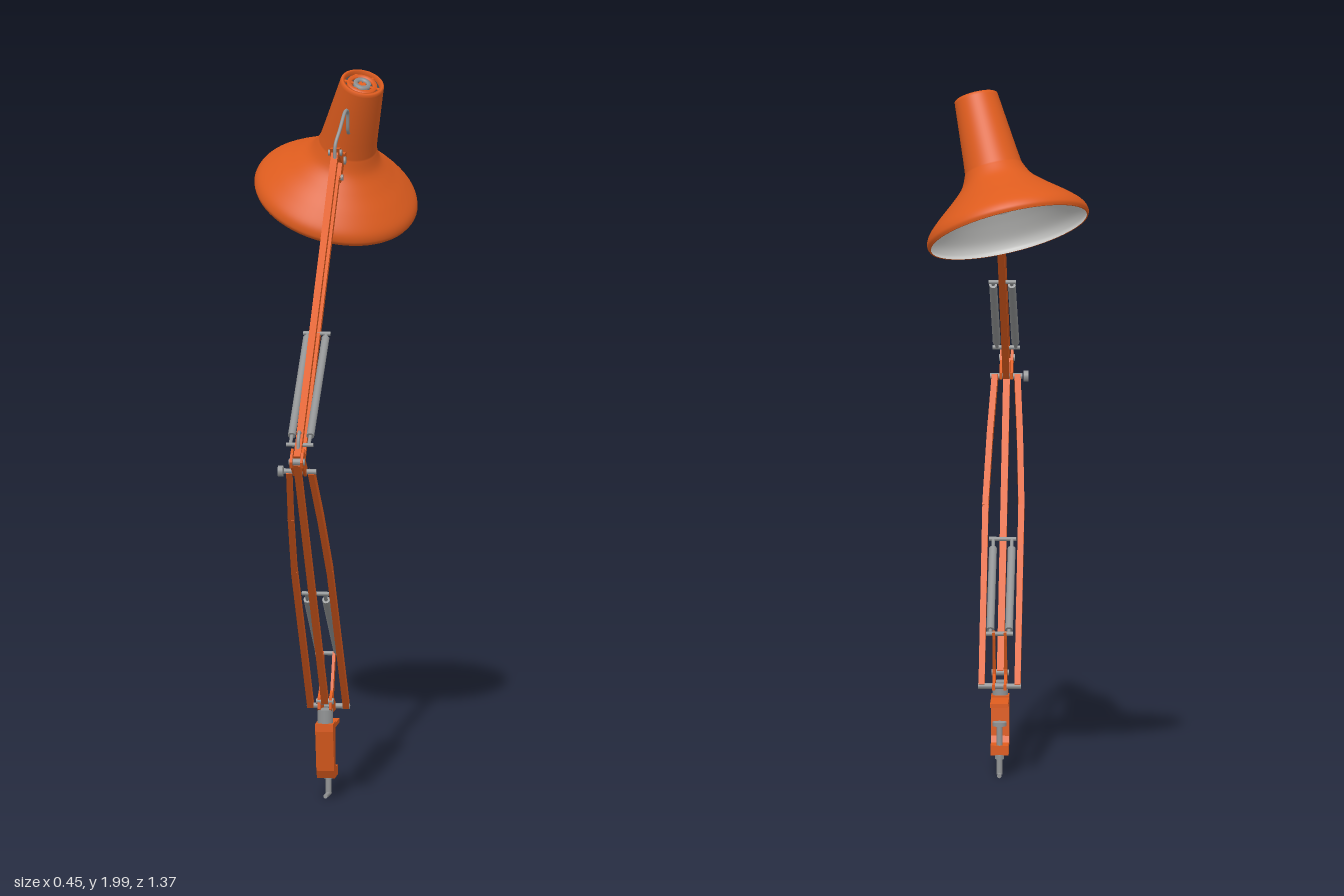
import * as THREE from 'three';

const mat = (name, color) => {
  const m = new THREE.MeshStandardMaterial({ color });
  m.name = name;
  return m;
};

export function createModel() {
  const orange = mat('orange paint', 0xde5c1e);
  const steel = mat('steel', 0x929495);
  const dark = mat('dark grey', 0x45474a);
  const lining = mat('shade lining', 0xc8c8c6);
  const glass = mat('bulb glass', 0xe0e0dd);

  const model = new THREE.Group();
  model.name = 'deskLamp';
  const CX = 0.037; // plane of the arm
  const P = (z, y, dx = 0) => new THREE.Vector3(CX + dx, y, z);

  const add = (name, geo, material, parent = model) => {
    const m = new THREE.Mesh(geo, material);
    m.name = name;
    parent.add(m);
    return m;
  };
  // square bar between two points: w across x, h in the arm plane
  const bar = (name, a, b, w, h) => {
    const m = add(name, new THREE.BoxGeometry(w, h, a.distanceTo(b)), orange);
    m.position.copy(a).lerp(b, 0.5);
    m.lookAt(b);
  };
  // round rod between two points
  const rod = (name, a, b, r, sides = 16) => {
    const m = add(name, new THREE.CylinderGeometry(r, r, a.distanceTo(b), sides), steel);
    m.position.copy(a).lerp(b, 0.5);
    m.quaternion.setFromUnitVectors(new THREE.Vector3(0, 1, 0), b.clone().sub(a).normalize());
  };
  // crosswise pin
  const pin = (name, z, y, half, r) => rod(name, P(z, y, -half), P(z, y, half), r);
  // flat plate drawn in the (z, y) plane
  const plate = (name, pts, width, dx = 0) => {
    const shape = new THREE.Shape(pts.map(([z, y]) => new THREE.Vector2(z, y)));
    const m = add(name, new THREE.ExtrudeGeometry(shape, { depth: width, bevelEnabled: false }), orange);
    m.rotation.y = -Math.PI / 2;
    m.position.x = CX + dx + width / 2;
  };
  const wire = (name, pts, r) =>
    add(name, new THREE.TubeGeometry(new THREE.CatmullRomCurve3(pts), 40, r, 8), steel);

  // Table clamp
  plate('clampBody', [[0.076, 0.222], [0.076, 0.2], [0.05, 0.085], [0.035, 0.062], [-0.028, 0.062],
    [-0.028, 0.09], [0.012, 0.092], [0.022, 0.11], [0.026, 0.203], [0.026, 0.222]], 0.05);
  plate('clampJaw', [[0.076, 0.218], [0.076, 0.203], [-0.066, 0.203], [-0.066, 0.214]], 0.05);
  rod('clampScrew', P(-0.02, 0.008), P(-0.02, 0.15), 0.008);
  rod('clampPad', P(-0.02, 0.145), P(-0.02, 0.156), 0.02);
  rod('clampNut', P(-0.02, 0.052), P(-0.02, 0.064), 0.014, 6);
  rod('clampHandle', P(0.045, 0.012), P(-0.045, 0.007), 0.006);
  rod('swivelPost', P(0.05, 0.215), P(0.05, 0.26), 0.022);

  // Base bracket with the lower pivots
  for (const s of [-1, 1]) {
    plate('baseBracketSide', [[0.066, 0.262], [0.062, 0.295], [0.035, 0.31], [-0.014, 0.412], [-0.03, 0.408],
      [-0.026, 0.39], [0.012, 0.3], [0.012, 0.285], [-0.03, 0.262], [-0.03, 0.246], [0.05, 0.25]], 0.008, s * 0.016);
  }
  pin('lowerFrontPivot', 0.055, 0.283, 0.024, 0.009);
  pin('lowerRearPivot', -0.02, 0.257, 0.06, 0.008);

  // Lower arm: one middle bar between two bowed outer bars
  bar('lowerMiddleBar', P(0.055, 0.283), P(0.66, 1.065), 0.019, 0.02);
  const foot = [-0.02, 0.257], head = [0.59, 1.03];
  const along = (t) => [foot[0] + (head[0] - foot[0]) * t, foot[1] + (head[1] - foot[1]) * t];
  for (const s of [-1, 1]) {
    const path = [[0, 0.05], [0.58, 0.05], [0.8, 0.042], [1, 0.031]].map(([t, d]) => P(...along(t), s * d));
    for (let i = 0; i < 3; i++) bar('lowerOuterBar', path[i], path[i + 1], 0.017, 0.021);
  }

  // Elbow bracket, pivots and locking knob
  for (const s of [-1, 1]) {
    plate('elbowBracketSide', [[0.685, 1.072], [0.678, 1.055], [0.655, 1.05], [0.6, 1.018], [0.58, 1.022],
      [0.578, 1.04], [0.62, 1.07], [0.645, 1.105], [0.66, 1.095]], 0.007, s * 0.015);
  }
  pin('elbowPivot', 0.663, 1.07, 0.022, 0.01);
  pin('elbowLowerPivot', 0.59, 1.03, 0.045, 0.008);
  rod('elbowKnob', P(0.59, 1.03, -0.062), P(0.59, 1.03, -0.048), 0.016);

  // Upper arm: two parallel bars
  bar('upperTopBar', P(0.655, 1.078), P(-0.168, 1.797), 0.019, 0.02);
  bar('upperBottomBar', P(0.59, 1.03), P(-0.19, 1.722), 0.019, 0.02);

  // Paired springs with hooked ends and cross pins
  const springs = (name, a, b, bodyFrom, bodyTo) => {
    for (const s of [-1, 1]) {
      const p = P(...a, s * 0.026), q = P(...b, s * 0.026);
      rod(name + 'Rod', p, q, 0.005);
      rod(name, p.clone().lerp(q, bodyFrom), p.clone().lerp(q, bodyTo), 0.011);
    }
    for (const e of [a, b]) pin(name + 'Pin', ...e, 0.038, 0.006);
  };
  springs('lowerSpring', [-0.022, 0.405], [0.262, 0.625], 0.04, 0.9);
  springs('upperSpring', [0.605, 1.108], [0.23, 1.355], 0.08, 0.96);
  plate('springAnchor', [[0.645, 1.1], [0.61, 1.122], [0.592, 1.112], [0.61, 1.09], [0.64, 1.08]], 0.014);

  // Cable loops
  wire('elbowCable', [P(0.64, 1.09), P(0.63, 1.13), P(0.612, 1.145), P(0.594, 1.135), P(0.58, 1.1)], 0.005);
  wire('headCable', [P(-0.14, 1.775, 0.002), P(-0.143, 1.82, 0.003), P(-0.17, 1.858, 0.012), P(-0.225, 1.9, 0.02),
    P(-0.262, 1.892, 0.022), P(-0.285, 1.835, 0.02), P(-0.32, 1.82, 0.02)], 0.005);

  // Forked head bracket holding the shade
  plate('headFork', [[-0.145, 1.808], [-0.16, 1.785], [-0.215, 1.757], [-0.178, 1.722], [-0.19, 1.705],
    [-0.21, 1.712], [-0.255, 1.742], [-0.265, 1.757], [-0.255, 1.772], [-0.18, 1.806]], 0.026);
  plate('headNeck', [[-0.25, 1.77], [-0.25, 1.742], [-0.35, 1.742], [-0.35, 1.768]], 0.022);
  pin('headTopPivot', -0.165, 1.795, 0.019, 0.009);
  pin('headBottomPivot', -0.19, 1.72, 0.019, 0.009);
  pin('tiltPivot', -0.25, 1.757, 0.019, 0.011);

  // Shade, built along its own axis from the rim centre
  const shade = new THREE.Group();
  shade.name = 'shade';
  shade.position.set(-0.003, 1.613, -0.474);
  shade.quaternion.setFromUnitVectors(new THREE.Vector3(0, 1, 0), new THREE.Vector3(0.243, 0.888, 0.394).normalize());
  model.add(shade);
  const lathe = (name, pts, material) =>
    add(name, new THREE.LatheGeometry(pts.map(([r, y]) => new THREE.Vector2(r, y)), 64), material, shade);

  const bell = new THREE.SplineCurve([[0.227, 0], [0.231, 0.013], [0.22, 0.037], [0.185, 0.071], [0.14, 0.109],
    [0.101, 0.147], [0.081, 0.188]].map((p) => new THREE.Vector2(...p))).getPoints(36);
  const bellPts = bell.map((p) => [p.x, p.y]);
  lathe('shadeOuter', [...bellPts, [0.0765, 0.23], [0.072, 0.28], [0.067, 0.335], [0.062, 0.391]], orange);
  lathe('shadeInner', [...bellPts.map(([r, y]) => [r - 0.004, y]), [0.07, 0.23], [0.06, 0.3], [0.001, 0.3]].reverse(), lining);
  lathe('shadeRim', [[0.223, 0], [0.227, 0]], orange);

  // Vented cap with socket end
  lathe('capLip', [[0.062, 0.391], [0.061, 0.398], [0.057, 0.401], [0.051, 0.4], [0.05, 0.386]], orange);
  lathe('capVent', [[0.051, 0.387], [0.0005, 0.387]], dark);
  lathe('capRing', [[0.042, 0.387], [0.042, 0.395], [0.031, 0.395], [0.031, 0.387]], orange);
  lathe('capSocket', [[0.024, 0.387], [0.024, 0.398], [0.014, 0.398], [0.014, 0.389]], steel);
  for (let i = 0; i < 3; i++) {
    const spoke = add('capSpoke', new THREE.BoxGeometry(0.1, 0.006, 0.009), orange, shade);
    spoke.position.y = 0.388;
    spoke.rotation.y = (i * Math.PI) / 3;
  }

  // Bulb and its holder
  add('bulb', new THREE.SphereGeometry(0.06, 32, 20), glass, shade).position.y = 0.115;
  add('bulbHolder', new THREE.CylinderGeometry(0.026, 0.032, 0.14, 24), lining, shade).position.y = 0.23;

  return model;
}
